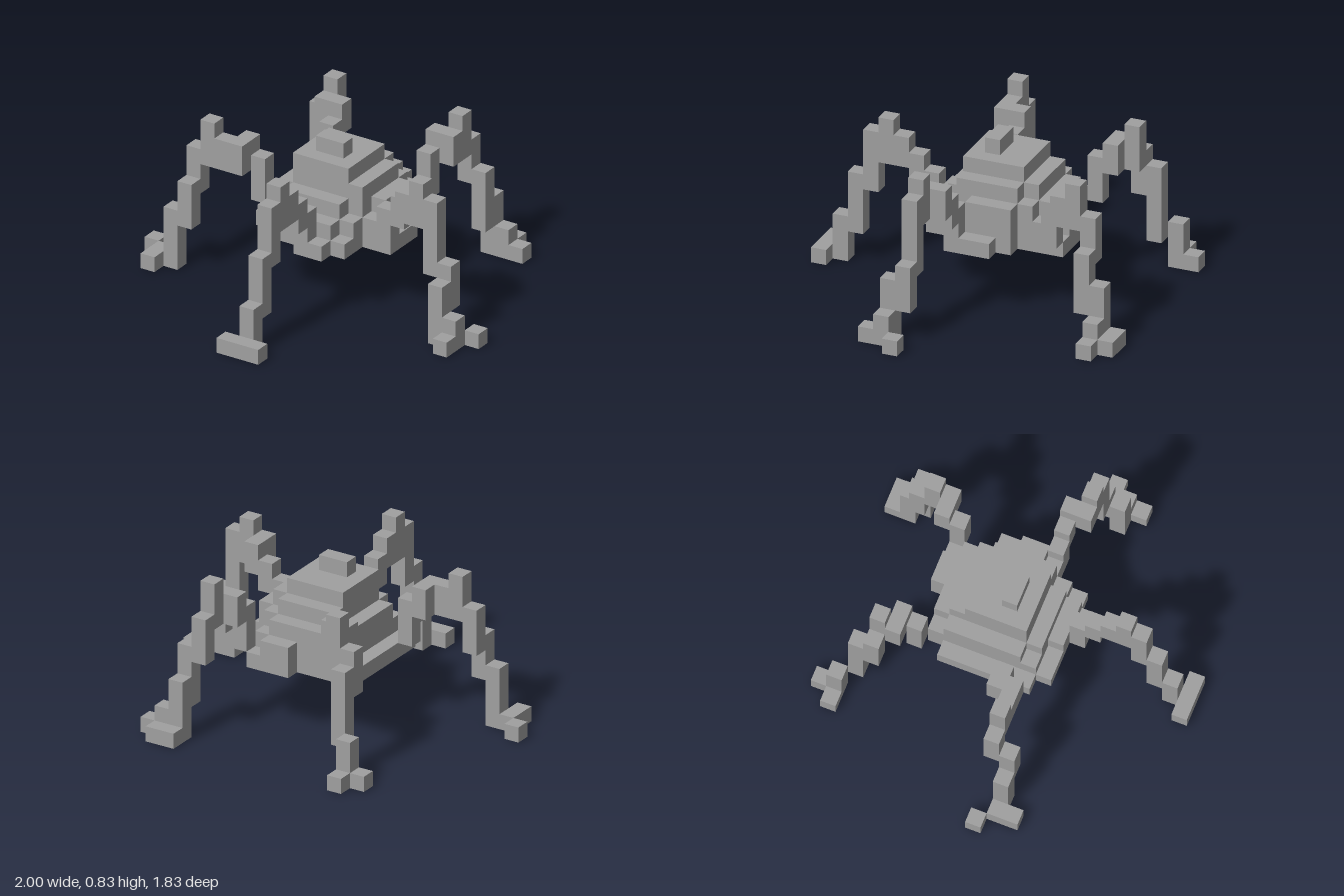
import * as THREE from 'three';

const U = 1 / 12; // one block

export function createModel() {
  const model = new THREE.Group();
  const grey = new THREE.MeshStandardMaterial({ color: 0xa0a0a0 });
  grey.name = 'grey';

  // Box between two block-grid corners
  function block(parent, name, x0, x1, y0, y1, z0, z1) {
    const mesh = new THREE.Mesh(
      new THREE.BoxGeometry((x1 - x0) * U, (y1 - y0) * U, (z1 - z0) * U), grey);
    mesh.position.set((x0 + x1) / 2 * U, (y0 + y1) / 2 * U, (z0 + z1) / 2 * U);
    mesh.name = name;
    parent.add(mesh);
  }

  // Body: stacked layers, each a list of slabs [x0, x1, z0, z1]
  const body = new THREE.Group();
  body.name = 'body';
  const layers = [
    [4, [[0, 3, -6, -5], [-3, 3, -5, -4], [-4, 3, -4, -3], [-4, 4, -3, -2],
      [-4, 5, -2, 1], [-4, 3, 1, 2], [-3, 3, 2, 3], [1, 2, 3, 4]]],
    [5, [[0, 2, -6, -5], [-3, 3, -5, -3], [-3, 4, -3, 1], [-3, 3, 1, 2], [-1, 2, 2, 3]]],
    [6, [[-2, 2, -5, -4], [-3, 3, -4, -3], [-3, 4, -3, 0], [-3, 3, 0, 1], [-2, 2, 1, 2]]],
    [7, [[-2, 2, -4, -3], [-2, 3, -3, 1]]],
    [8, [[-2, 2, -3, 1]]],
    [9, [[-1, 1, -1, 0]]],
  ];
  for (const [y, slabs] of layers)
    for (const [x0, x1, z0, z1] of slabs) block(body, 'bodyLayer', x0, x1, y, y + 1, z0, z1);
  model.add(body);

  // Legs: columns [x, z, bottom, top] from hip to toes
  const legs = {
    frontLeg: [[0, 3, 4, 7], [0, 4, 6, 8], [0, 5, 7, 9], [0, 6, 7, 10], [0, 7, 5, 9],
      [0, 8, 2, 6], [0, 9, 0, 3], [-1, 10, 0, 1], [0, 10, 0, 1], [1, 10, 0, 1]],
    leftLeg: [[4, 0, 5, 7], [5, 0, 6, 8], [6, 0, 7, 9], [6, 1, 7, 9], [7, 1, 7, 10],
      [8, 1, 4, 9], [9, 1, 2, 5], [9, 2, 0, 4], [10, 2, 0, 2], [10, 3, 0, 1], [11, 1, 0, 1]],
    rightLeg: [[-5, 0, 5, 8], [-6, 0, 7, 9], [-6, 1, 7, 9], [-7, 1, 7, 9], [-8, 1, 7, 10],
      [-9, 1, 5, 8], [-9, 2, 3, 6], [-10, 2, 0, 4], [-11, 2, 0, 1], [-11, 3, 0, 1], [-12, 1, 0, 1]],
    backLeftLeg: [[3, -6, 5, 8], [3, -7, 7, 9], [4, -7, 7, 9], [4, -8, 7, 10], [4, -9, 5, 8],
      [5, -9, 2, 6], [5, -10, 0, 4], [6, -10, 0, 2], [7, -10, 0, 1], [5, -11, 0, 1], [6, -11, 0, 1]],
    backRightLeg: [[-3, -5, 5, 6], [-4, -6, 5, 8], [-4, -7, 7, 9], [-5, -7, 7, 9], [-5, -8, 7, 10],
      [-6, -8, 5, 8], [-6, -9, 2, 7], [-7, -10, 0, 3], [-8, -10, 0, 1], [-7, -11, 0, 1]],
  };
  for (const [name, columns] of Object.entries(legs)) {
    const leg = new THREE.Group();
    leg.name = name;
    for (const [x, z, y0, y1] of columns) block(leg, name + 'Block', x, x + 1, y0, y1, z, z + 1);
    model.add(leg);
  }
  return model;
}
